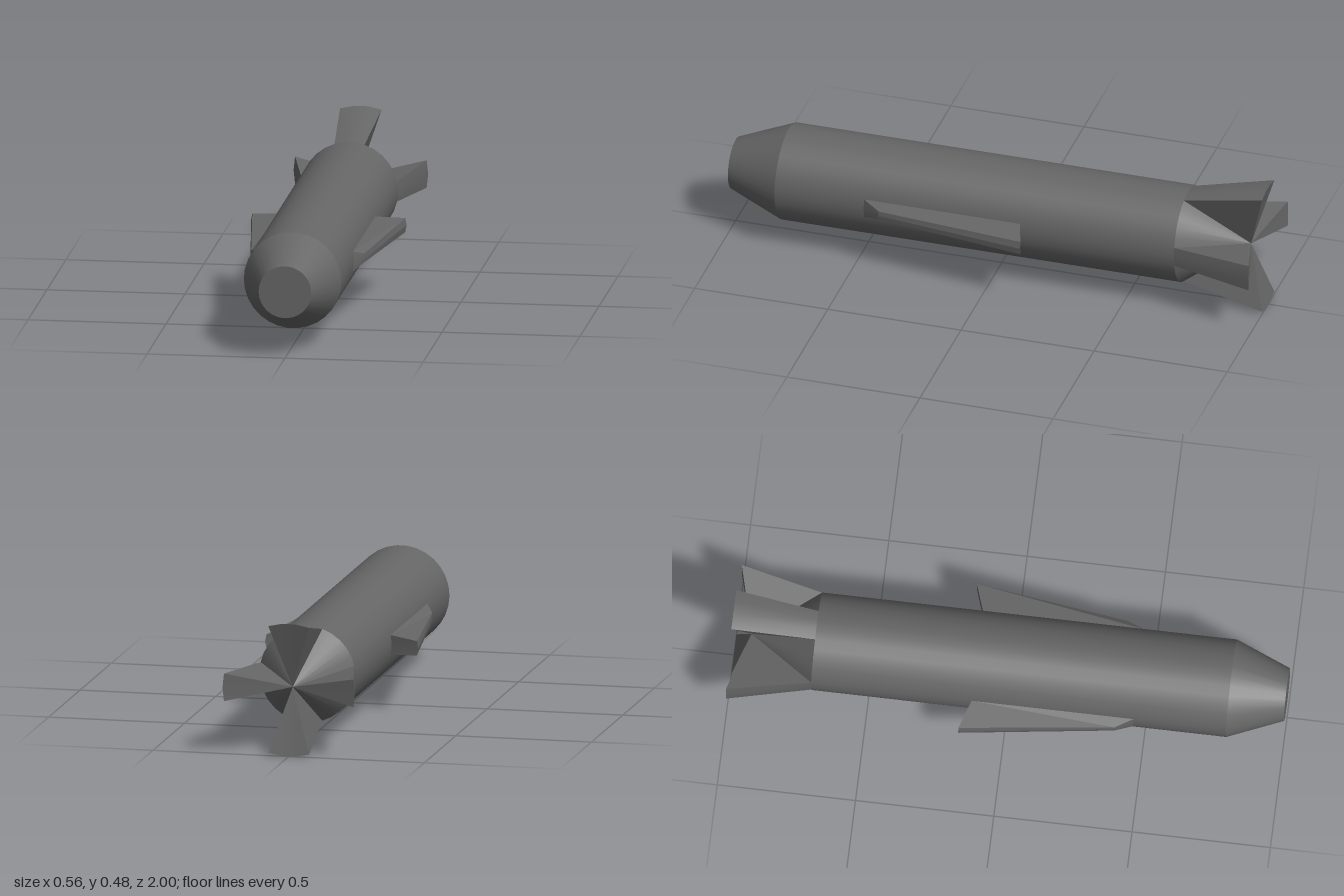
import * as THREE from 'three';
import { toCreasedNormals } from 'three/addons/utils/BufferGeometryUtils.js';

const SIDES = 30, STEP = (Math.PI * 2) / SIDES;
const R = 0.1765;          // body radius
const AXIS_Y = 0.2425;     // height of the body axis

// Collects triangles and quads into a geometry with sharp edges kept
function makeFaces(build) {
  const pos = [];
  const tri = (a, b, c) => pos.push(...a, ...b, ...c);
  const quad = (a, b, c, d) => { tri(a, b, c); tri(a, c, d); };
  build(tri, quad);
  const g = new THREE.BufferGeometry();
  g.setAttribute('position', new THREE.Float32BufferAttribute(pos, 3));
  return toCreasedNormals(g, 0.3);
}

// Open tube section along z, from z0 (rear) to z1 (front)
function section(rFront, rRear, z0, z1) {
  const g = new THREE.CylinderGeometry(rFront, rRear, z1 - z0, SIDES, 1, true, Math.PI / 2);
  return g.rotateX(Math.PI / 2).translate(0, 0, (z0 + z1) / 2);
}

// Tail: a cone behind the body, with four flared fins sharing its apex
function tailGeometry() {
  const finSegments = new Set([29, 0, 6, 7, 8, 14, 15, 21, 22, 23]);
  const apex = [0, 0, -0.936];
  const at = (r, i, z) => [r * Math.cos(i * STEP), r * Math.sin(i * STEP), z];
  return makeFaces((tri, quad) => {
    for (let i = 0; i < SIDES; i++) {
      const ra = at(R, i, -0.7), rb = at(R, i + 1, -0.7);
      if (!finSegments.has(i)) {
        tri(ra, apex, rb);
        continue;
      }
      const oa = at(0.2438, i, -1), ob = at(0.2438, i + 1, -1);
      quad(ra, oa, ob, rb);
      tri(apex, ob, oa);
      if (!finSegments.has((i + SIDES - 1) % SIDES)) tri(ra, apex, oa);
      if (!finSegments.has((i + 1) % SIDES)) tri(rb, ob, apex);
    }
  });
}

// Side wing: cross-sections of three points, running front to rear
function wingGeometry() {
  const stations = [ // edge x, middle x, half height, z
    [0.1726, R, 0.0367, 0.465],
    [0.205, 0.207, 0.016, 0.4],
    [0.277, 0.282, 0.026, -0.155],
    [0.1726, R, 0.0367, -0.12],
  ];
  const p = stations.map(([x, mx, h, z]) => [[x, -h, z], [mx, 0, z], [x, h, z]]);
  return makeFaces((tri, quad) => {
    for (let k = 0; k < 3; k++)
      for (let j = 0; j < 2; j++)
        quad(p[k][j], p[k + 1][j], p[k + 1][j + 1], p[k][j + 1]);
    quad(p[0][2], p[1][2], p[2][2], p[3][2]);
    quad(p[3][0], p[2][0], p[1][0], p[0][0]);
  });
}

export function createModel() {
  const group = new THREE.Group();
  const material = new THREE.MeshStandardMaterial({ color: 0x666666 });
  const add = (name, geometry) => {
    const mesh = new THREE.Mesh(geometry, material);
    mesh.name = name;
    mesh.position.y = AXIS_Y;
    group.add(mesh);
    return mesh;
  };

  add('body', section(R, R, -0.7, 0.8));
  add('noseTaper', section(0.0955, R, 0.8, 1));
  add('noseFace', new THREE.CircleGeometry(0.0955, SIDES).translate(0, 0, 1));
  add('tailFins', tailGeometry());

  const wing = wingGeometry();
  add('leftWing', wing);
  add('rightWing', wing).rotation.z = Math.PI;
  return group;
}
